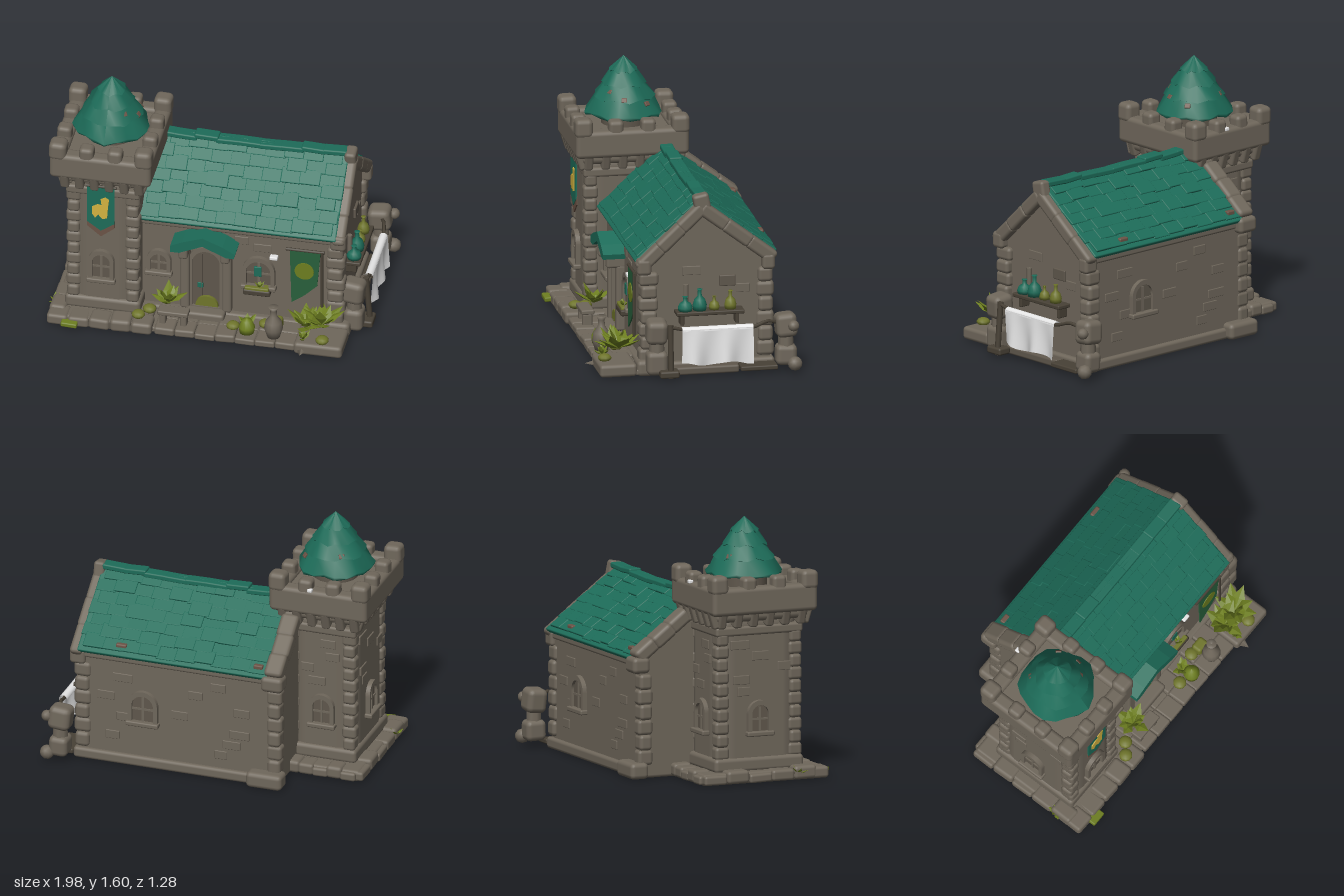
import * as THREE from 'three';
import { RoundedBoxGeometry } from 'three/addons/geometries/RoundedBoxGeometry.js';

export function createModel() {
  const root = new THREE.Group();
  const mat = (name, color, side = THREE.FrontSide) => {
    const m = new THREE.MeshStandardMaterial({ color, side });
    m.name = name;
    return m;
  };
  const STONE = mat('stone', 0x6f675b), DARK = mat('dark stone', 0x5f574c), WOOD = mat('dark wood', 0x484136);
  const TEAL = mat('teal', 0x1d6c59), WORN = mat('worn tile', 0x6b5346), LEAF = mat('leaf', 0x6d7e20);
  const MOSS = mat('moss', 0x6f752b), GOLD = mat('gold', 0xd3b340), FLAG = mat('banner green', 0x285f3b);
  const WHITE = mat('white cloth', 0xe6e6e6, THREE.DoubleSide);

  let seed = 7;
  const rnd = (a = 0, b = 1) => {
    seed = (seed * 16807) % 2147483647;
    return a + (b - a) * (seed / 2147483647);
  };
  const add = (name, geo, m, x = 0, y = 0, z = 0, rx = 0, ry = 0, rz = 0, parent = root) => {
    const mesh = new THREE.Mesh(geo, m);
    mesh.name = name;
    mesh.position.set(x, y, z);
    mesh.rotation.set(rx, ry, rz);
    parent.add(mesh);
    return mesh;
  };
  const rounded = (w, h, d) => new RoundedBoxGeometry(w, h, d, 2, Math.min(w, h, d) * 0.28);
  // Rounded block given by its bounds
  const block = (name, x0, x1, y0, y1, z0, z1, m = STONE, twist = 0) =>
    add(name, rounded(x1 - x0, y1 - y0, z1 - z0), m, (x0 + x1) / 2, (y0 + y1) / 2, (z0 + z1) / 2,
      rnd(-twist, twist), rnd(-twist, twist), rnd(-twist, twist));
  const polygon = pts => new THREE.Shape(pts.map(p => new THREE.Vector2(p[0], p[1])));
  const extrude = (shape, depth) => new THREE.ExtrudeGeometry(shape, { depth, bevelEnabled: false, curveSegments: 14 });
  const lathe = (pts, n = 14) => new THREE.LatheGeometry(pts.map(p => new THREE.Vector2(p[0], p[1])), n);
  const archShape = (w, h, Type = THREE.Shape, y = 0) => {
    const s = new Type();
    s.moveTo(-w / 2, y);
    s.lineTo(w / 2, y);
    s.lineTo(w / 2, h - w / 2);
    s.absarc(0, h - w / 2, w / 2, 0, Math.PI, false);
    s.lineTo(-w / 2, y);
    return s;
  };

  // House walls: gabled section along x
  const section = [[0.3, 0.03], [0.3, 0.72], [-0.05, 1.05], [-0.475, 0.72], [-0.475, 0.03]];
  add('houseWalls', extrude(polygon(section.map(([z, y]) => [-z, y])), 1.29), STONE, -0.5, 0, 0, 0, Math.PI / 2);
  block('houseFoundation', -0.5, 0.82, 0, 0.07, -0.5, 0.34);
  block('frontCornice', -0.43, 0.78, 0.65, 0.71, 0.27, 0.325);
  block('backCornice', -0.48, 0.8, 0.68, 0.73, -0.49, -0.44);

  // Roof tiles and gable copings laid down both slopes
  const ridge = [-0.05, 1.095];
  const layRows = (name, m, x0, x1, [ze, ye], rows, cols, thick, drop, lift, rough) => {
    const dz = ze - ridge[0], dy = ye - ridge[1], L = Math.hypot(dz, dy), s = Math.sign(dz);
    const a = Math.atan2(-dy, Math.abs(dz));
    for (let i = 0; i < rows; i++) for (let j = 0; j < cols; j++) {
      const t = (i + 0.5) / rows, w = (x1 - x0) / cols, off = rnd(-0.012, 0.012) * rough;
      add(name, rounded(w * (1.02 + rnd(0, 0.15) * rough), thick, L / rows * (1.1 + rnd(0, 0.25) * rough)), m,
        x0 + (j + 0.5 + (i % 2 ? 0.12 : -0.12) * rough) * w, ridge[1] + dy * t - drop + off * 0.5,
        ridge[0] + dz * t, s * (a - lift), 0, rnd(-0.02, 0.02) * rough);
    }
  };
  const frontEave = [0.335, 0.735], backEave = [-0.49, 0.76];
  for (const eave of [frontEave, backEave]) {
    layRows('roofSlope', TEAL, -0.43, 0.775, eave, 1, 1, 0.03, 0.015, 0, 0);
    layRows('roofTile', TEAL, -0.42, 0.765, eave, 7, 10, 0.02, 0, 0.06, 1);
    layRows('gableCoping', STONE, 0.76, 0.84, eave, 3, 1, 0.085, 0.06, 0, 0.1);
  }
  layRows('backLeftCoping', STONE, -0.53, -0.42, backEave, 4, 1, 0.09, 0.015, 0, 0.2);
  for (let i = 0; i < 9; i++)
    add('ridgeTile', rounded(0.15, 0.035, 0.08), TEAL, -0.36 + i * 0.133, 1.092 + rnd(-0.008, 0.014), -0.05, 0, 0, rnd(-0.05, 0.05));
  block('ridgeStone', 0.765, 0.835, 1.0, 1.125, -0.1, 0).rotation.x = 0.2;
  block('eaveStone', 0.745, 0.845, 0.63, 0.735, 0.265, 0.355);
  block('eaveStone', 0.745, 0.845, 0.63, 0.73, -0.5, -0.42);
  block('eaveStone', -0.54, -0.4, 0.65, 0.75, -0.535, -0.42);
  block('wornTile', 0.48, 0.55, 0.765, 0.8, -0.485, -0.45, WORN);
  block('wornTile', -0.4, -0.34, 0.77, 0.8, -0.485, -0.45, WORN);

  // Corner stones, alternately long and short
  const quoins = (cx, cz, y0, y1, n, size) => {
    for (let i = 0; i < n; i++) {
      const h = (y1 - y0) / n, w = size * (i % 2 ? 1.1 : 0.92), d = size * (i % 2 ? 0.92 : 1.1);
      add('cornerStone', rounded(w, h * 1.04, d), STONE, cx, y0 + (i + 0.5) * h, cz, 0, rnd(-0.06, 0.06), 0);
    }
  };
  quoins(0.775, 0.28, 0.08, 0.64, 7, 0.11);
  quoins(0.765, -0.445, 0.08, 0.64, 6, 0.1);
  quoins(-0.47, -0.44, 0.08, 0.64, 6, 0.09);

  // Tower body
  const T = { x: -0.645, z: 0.155 };
  block('towerBody', -0.865, -0.425, 0.03, 1.08, -0.125, 0.435);
  block('towerFoot', -0.88, -0.41, 0.06, 0.15, -0.145, 0.45);
  block('towerBand', -0.875, -0.415, 0.9, 0.96, -0.135, 0.445);
  for (const x of [-0.828, -0.462]) for (const z of [-0.088, 0.398]) quoins(x, z, 0.14, 0.92, 10, 0.085);

  // Crown with corbels, parapet and merlons
  block('crownLower', -0.92, -0.37, 0.99, 1.12, -0.155, 0.465);
  block('crownFloor', -0.94, -0.36, 1.06, 1.18, -0.17, 0.48);
  for (const z of [-0.145, 0.455]) block('parapet', -0.965, -0.335, 1.04, 1.21, z - 0.05, z + 0.05);
  for (const x of [-0.915, -0.385]) block('parapet', x - 0.05, x + 0.05, 1.04, 1.21, -0.19, 0.505);
  for (let i = 0; i < 4; i++) for (let j = 0; j < 4; j++) {
    if (i % 3 && j % 3) continue;
    const corner = !(i % 3) && !(j % 3), x = -0.915 + i * 0.1767, z = -0.145 + j * 0.2, w = corner ? 0.055 : 0.045;
    block('merlon', x - w, x + w, 1.17, corner ? 1.29 : 1.27, z - w, z + w, STONE, 0.04);
  }
  for (let i = 0; i < 6; i++) {
    const x = -0.875 + i * 0.092, z = -0.11 + i * 0.106;
    for (const s of [-1, 1]) {
      add('corbel', rounded(0.055, 0.12, 0.08), STONE, x, 1.02, T.z + s * 0.295, s * 0.3);
      add('corbel', rounded(0.08, 0.12, 0.055), STONE, T.x + s * 0.24, 1.02, z, 0, 0, -s * 0.3);
    }
  }
  block('crownChip', -0.615, -0.585, 1.2, 1.222, -0.2, -0.17, WHITE);

  // Ragged conical tower roof
  add('roofDrum', new THREE.CylinderGeometry(0.14, 0.14, 0.14, 16), DARK, T.x, 1.22, T.z);
  const cone = lathe([[0, 1.27], [0.225, 1.245], [0.232, 1.262], [0.178, 1.35], [0.187, 1.352], [0.128, 1.43],
    [0.137, 1.432], [0.08, 1.51], [0.086, 1.512], [0, 1.6]], 20);
  const p = cone.attributes.position;
  for (let i = 0; i < p.count; i++) {
    const a = Math.atan2(p.getZ(i), p.getX(i)), y = p.getY(i), k = 1 + 0.05 * Math.sin(5 * a + y * 20);
    p.setXYZ(i, p.getX(i) * k, y + (y < 1.59 ? 0.01 * Math.sin(7 * a + y * 50) : 0), p.getZ(i) * k);
  }
  cone.computeVertexNormals();
  add('towerRoof', cone, TEAL, T.x, 0, T.z);
  for (const [a, y] of [[0.75, 1.4], [1.4, 1.36], [2.2, 1.33], [3.7, 1.37]]) {
    const r = (1.6 - y) * 0.72;
    add('wornTile', rounded(0.035, 0.03, 0.014), WORN, T.x + Math.sin(a) * r, y, T.z + Math.cos(a) * r, -0.6, a).rotation.order = 'YXZ';
  }

  // Slightly raised wall bricks
  const bricks = (axis, at, u0, u1, y0, y1, n) => {
    for (let i = 0; i < n; i++) {
      const u = rnd(u0, u1), y = y0 + (y1 - y0) * (i + 0.5) / n, w = rnd(0.08, 0.13);
      const g = rounded(axis === 'z' ? w : 0.014, 0.055, axis === 'z' ? 0.014 : w);
      add('wallBrick', g, STONE, axis === 'z' ? u : at, y, axis === 'z' ? at : u);
    }
  };
  bricks('z', 0.3, 0.15, 0.45, 0.54, 0.62, 2);
  bricks('z', -0.475, -0.35, 0.2, 0.12, 0.64, 7);
  bricks('z', -0.475, 0.5, 0.68, 0.12, 0.64, 4);
  bricks('x', 0.79, -0.35, 0.15, 0.45, 0.7, 2);
  bricks('z', -0.125, -0.78, -0.55, 0.54, 0.88, 4);
  bricks('x', -0.865, -0.02, 0.33, 0.52, 0.88, 5);

  // Arched windows and door: frame, pane, bars, sill
  const opening = (name, w, h, x, y, z, ry, door = false) => {
    const g = new THREE.Group();
    g.name = name;
    g.position.set(x, y, z);
    g.rotation.y = ry;
    const outer = archShape(w + 0.05, h + 0.03);
    outer.holes.push(archShape(w, h, THREE.Path, 0.005));
    add(name + 'Frame', extrude(outer, 0.028), STONE, 0, 0, 0, 0, 0, 0, g);
    add(name + 'Pane', extrude(archShape(w, h), 0.008), DARK, 0, 0, 0.002, 0, 0, 0, g);
    for (const bx of door ? [-w / 6, w / 6] : [0])
      add(name + 'Bar', new THREE.BoxGeometry(door ? 0.005 : 0.014, h * 0.93, 0.01), door ? DARK : STONE, bx, h * 0.47, 0.012, 0, 0, 0, g);
    if (!door) {
      add(name + 'Bar', new THREE.BoxGeometry(w, 0.012, 0.01), STONE, 0, h * 0.5, 0.012, 0, 0, 0, g);
      add(name + 'Sill', rounded(w + 0.07, 0.03, 0.05), STONE, 0, -0.005, 0.02, 0, 0, 0, g);
    }
    root.add(g);
  };
  opening('towerFrontWindow', 0.11, 0.18, -0.65, 0.3, 0.437, 0);
  opening('towerBackWindow', 0.11, 0.17, -0.66, 0.3, -0.127, Math.PI);
  opening('towerSideWindow', 0.11, 0.17, -0.867, 0.3, 0.15, -Math.PI / 2);
  opening('houseLeftWindow', 0.1, 0.13, -0.32, 0.31, 0.302, 0);
  opening('houseRightWindow', 0.15, 0.18, 0.3, 0.29, 0.302, 0);
  opening('houseBackWindow', 0.14, 0.18, 0.37, 0.3, -0.477, Math.PI);
  opening('door', 0.17, 0.41, -0.025, 0.09, 0.302, 0, true);
  add('doorMoss', new THREE.CylinderGeometry(0.07, 0.07, 0.02, 14, 1, false, Math.PI / 2, Math.PI), MOSS, -0.02, 0.105, 0.325, Math.PI / 2);
  block('doorPlate', -0.08, -0.045, 0.225, 0.26, 0.308, 0.318, TEAL);
  block('windowCurtain', 0.272, 0.318, 0.36, 0.43, 0.312, 0.326, TEAL);

  // Door canopy and side piers
  const canopy = [[-0.225, 0.55], [-0.17, 0.55], [-0.025, 0.615], [0.12, 0.55], [0.17, 0.55], [0.178, 0.582], [0.1, 0.625], [-0.025, 0.675], [-0.15, 0.63], [-0.225, 0.595]];
  add('doorCanopy', extrude(polygon(canopy), 0.15), TEAL, 0, 0, 0.29);
  for (const x of [-0.155, 0.105]) {
    block('doorPier', x - 0.03, x + 0.03, 0.08, 0.5, 0.28, 0.35);
    block('canopyBracket', x - 0.03, x + 0.03, 0.48, 0.56, 0.28, 0.41);
  }

  // Banners with pole and painted emblem
  const hang = (name, m, pts, z) => add(name, extrude(polygon(pts), 0.008), m, 0, 0, z);
  hang('towerBannerTrim', WORN, [[-0.735, 0.74], [-0.735, 0.69], [-0.65, 0.62], [-0.565, 0.69], [-0.565, 0.74]], 0.455);
  hang('towerBanner', TEAL, [[-0.735, 0.98], [-0.735, 0.725], [-0.65, 0.665], [-0.565, 0.725], [-0.565, 0.98]], 0.459);
  hang('bannerBeast', GOLD, [[-0.703, 0.84], [-0.705, 0.79], [-0.685, 0.76], [-0.665, 0.785], [-0.64, 0.755], [-0.61, 0.765], [-0.605, 0.84],
    [-0.598, 0.9], [-0.62, 0.915], [-0.65, 0.9], [-0.645, 0.855], [-0.67, 0.86]], 0.464);
  hang('houseBanner', FLAG, [[0.5, 0.6], [0.51, 0.22], [0.59, 0.28], [0.67, 0.36], [0.69, 0.6]], 0.342);
  add('bannerDisc', new THREE.CylinderGeometry(0.06, 0.06, 0.006, 20), LEAF, 0.59, 0.46, 0.351, Math.PI / 2);
  const pole = (name, r, len, m, x, y, z, rx = 0, rz = 0) => add(name, new THREE.CylinderGeometry(r, r, len, 8), m, x, y, z, rx, 0, rz);
  pole('bannerPole', 0.01, 0.19, WOOD, -0.65, 0.985, 0.459, 0, Math.PI / 2);
  pole('bannerPole', 0.01, 0.24, WOOD, 0.595, 0.605, 0.342, 0, Math.PI / 2);
  pole('bannerPost', 0.008, 0.4, WOOD, 0.7, 0.41, 0.35);
  block('lampStone', 0.37, 0.42, 0.502, 0.525, 0.3, 0.34, WHITE);

  // Plinths, steps and flagstones
  block('towerPlinth', -0.94, -0.33, 0, 0.07, -0.25, 0.56);
  for (let i = 0; i < 5; i++) {
    block('plinthStone', -0.965 + i * 0.13, -0.835 + i * 0.13, 0.005, rnd(0.07, 0.09), 0.45, 0.58, STONE, 0.03);
    block('plinthStone', -0.92 + i * 0.09, -0.82 + i * 0.09, 0.005, rnd(0.06, 0.09), -0.27, -0.15, STONE, 0.03);
    block('plinthStone', -0.965, -0.86, 0.005, rnd(0.06, 0.09), -0.25 + i * 0.15, -0.1 + i * 0.15, STONE, 0.03);
  }
  block('forecourt', -0.36, 0.86, 0.01, 0.045, 0.2, 0.54);
  for (let i = 0; i < 7; i++) for (let j = 0; j < 2; j++)
    block('flagstone', -0.3 + i * 0.125, -0.175 + i * 0.125, 0.01, rnd(0.05, 0.065), 0.32 + j * 0.12, 0.445 + j * 0.12, STONE, 0.03);
  block('planterBlock', 0.57, 0.87, 0.005, 0.085, 0.36, 0.59);
  add('wedgeStone', new THREE.ConeGeometry(0.05, 0.1, 4), STONE, 0.62, 0.035, 0.59, Math.PI / 2).scale.z = 0.6;
  block('doorStep', -0.15, 0.1, 0.03, 0.095, 0.32, 0.41);
  block('cornerFoot', -0.54, -0.31, 0, 0.1, -0.55, -0.43);
  block('cornerFoot', 0.72, 0.87, 0, 0.1, 0.2, 0.36);

  // Bench, vase, pots and mossy stones in the yard
  block('benchSeat', -0.29, -0.1, 0.125, 0.155, 0.44, 0.52);
  for (const x of [-0.26, -0.13]) block('benchLeg', x - 0.02, x + 0.02, 0.04, 0.13, 0.45, 0.51);
  add('vase', lathe([[0, 0], [0.04, 0], [0.058, 0.06], [0.05, 0.11], [0.022, 0.15], [0.02, 0.19], [0.032, 0.215], [0, 0.205]]), STONE, 0.43, 0.06, 0.5);
  add('greenSack', lathe([[0, 0], [0.045, 0], [0.05, 0.04], [0.03, 0.085], [0, 0.1]]), LEAF, 0.26, 0.055, 0.48);
  block('windowPlanter', 0.21, 0.38, 0.245, 0.285, 0.3, 0.37, WOOD);
  block('mossPatch', 0.22, 0.37, 0.275, 0.3, 0.31, 0.365, MOSS);
  block('mossPatch', 0.38, 0.47, 0.06, 0.14, 0.38, 0.45, MOSS);
  for (const [x, y, z] of [[-0.41, 0.105, 0.5], [-0.35, 0.12, 0.45], [0.17, 0.075, 0.46], [0.36, 0.075, 0.4], [0.74, 0.1, 0.54]])
    add('mossStone', new THREE.SphereGeometry(0.042, 10, 7), MOSS, x, y, z).scale.y = 0.6;
  block('mossClump', -0.87, -0.77, 0.025, 0.055, 0.56, 0.62, LEAF, 0.1);

  // Broad spiky plants
  const plant = (x, y, z, size, n) => {
    const g = new THREE.Group();
    g.name = 'plant';
    g.position.set(x, y, z);
    for (let i = 0; i < n; i++) {
      const len = size * rnd(0.8, 1.1), geo = new THREE.OctahedronGeometry(1);
      geo.scale(size * 0.24, len / 2, size * 0.07);
      geo.translate(0, len / 2, 0);
      add('plantLeaf', geo, LEAF, 0, 0, 0, rnd(0.4, 1.2), i * 2.4, 0, g).rotation.order = 'YXZ';
    }
    root.add(g);
  };
  plant(-0.24, 0.16, 0.42, 0.14, 10);
  plant(0.25, 0.06, 0.42, 0.09, 8);
  plant(0.62, 0.12, 0.45, 0.16, 10);
  plant(0.72, 0.15, 0.45, 0.16, 11);
  plant(0.62, 0.08, 0.53, 0.08, 6);
  plant(-0.95, 0.04, 0.38, 0.06, 6);
  plant(0.31, 0.29, 0.34, 0.05, 6);

  // Shelf with bottles on the end wall
  block('shelf', 0.79, 0.89, 0.375, 0.4, -0.3, 0.12, WOOD);
  for (const z of [-0.26, 0.08]) block('shelfBracket', 0.79, 0.86, 0.31, 0.375, z - 0.012, z + 0.012, WOOD);
  const bottle = [[0, 0], [0.04, 0], [0.044, 0.03], [0.033, 0.065], [0.013, 0.085], [0.012, 0.12], [0.018, 0.125], [0, 0.126]];
  [[0.06, TEAL, 1.05, 0.7], [-0.03, TEAL, 1, 1.05], [-0.12, MOSS, 0.75, 0.65], [-0.22, MOSS, 0.85, 0.9]].forEach(([z, m, s, h]) =>
    add('bottle', lathe(bottle), m, 0.84, 0.4, z).scale.set(s, h, s));
  pole('candle', 0.016, 0.16, STONE, 0.81, 0.475, 0.05);
  block('wallNiche', 0.78, 0.805, 0.53, 0.6, -0.26, -0.16, DARK);

  // Drying line with cloth between two stone posts
  for (const [z, foot] of [[0.245, 0], [-0.555, 0.02]]) {
    block('postHead', 0.805, 0.945, 0.215, 0.365, z - 0.065, z + 0.065, STONE, 0.12);
    add('postNeck', new THREE.CylinderGeometry(0.045, 0.05, 0.12, 8), STONE, 0.88, 0.19, z);
    block('postBody', 0.82, 0.94, foot + 0.02, 0.17, z - 0.065, z + 0.065, STONE, 0.05);
  }
  add('postFoot', new THREE.IcosahedronGeometry(0.045, 1), STONE, 0.95, 0.06, -0.6);
  add('postKnob', new THREE.IcosahedronGeometry(0.035, 1), STONE, 0.955, 0.3, -0.59);
  pole('linePost', 0.018, 0.33, WOOD, 0.95, 0.175, 0.17, 0, 0.08);
  block('linePostFoot', 0.9, 0.99, 0.015, 0.06, 0.12, 0.24, WOOD);
  const line = new THREE.CatmullRomCurve3([[0.94, 0.33, 0.18], [0.945, 0.31, 0.08], [0.94, 0.3, -0.33], [0.92, 0.33, -0.44], [0.89, 0.3, -0.52]].map(v => new THREE.Vector3(...v)));
  add('clothLine', new THREE.TubeGeometry(line, 24, 0.011, 6), WOOD);
  const cloth = new THREE.PlaneGeometry(0.44, 0.22, 24, 6), c = cloth.attributes.position;
  for (let i = 0; i < c.count; i++) {
    const x = c.getX(i), t = 0.5 - c.getY(i) / 0.22;
    c.setZ(i, 0.022 * t * Math.sin(x * 32) + 0.025);
    c.setY(i, c.getY(i) + t * 0.012 * Math.sin(x * 25));
  }
  cloth.computeVertexNormals();
  add('cloth', cloth, WHITE, 0.94, 0.2, -0.12, 0, Math.PI / 2);
  add('clothFold', new THREE.CylinderGeometry(0.026, 0.026, 0.44, 12, 1, true, Math.PI / 2, Math.PI), WHITE, 0.94, 0.298, -0.12, Math.PI / 2);
  block('footBoard', 0.82, 0.93, 0.02, 0.05, -0.5, -0.27, WOOD);
  block('sideLedge', 0.78, 0.88, 0, 0.05, -0.27, 0.2, DARK);

  return root;
}
